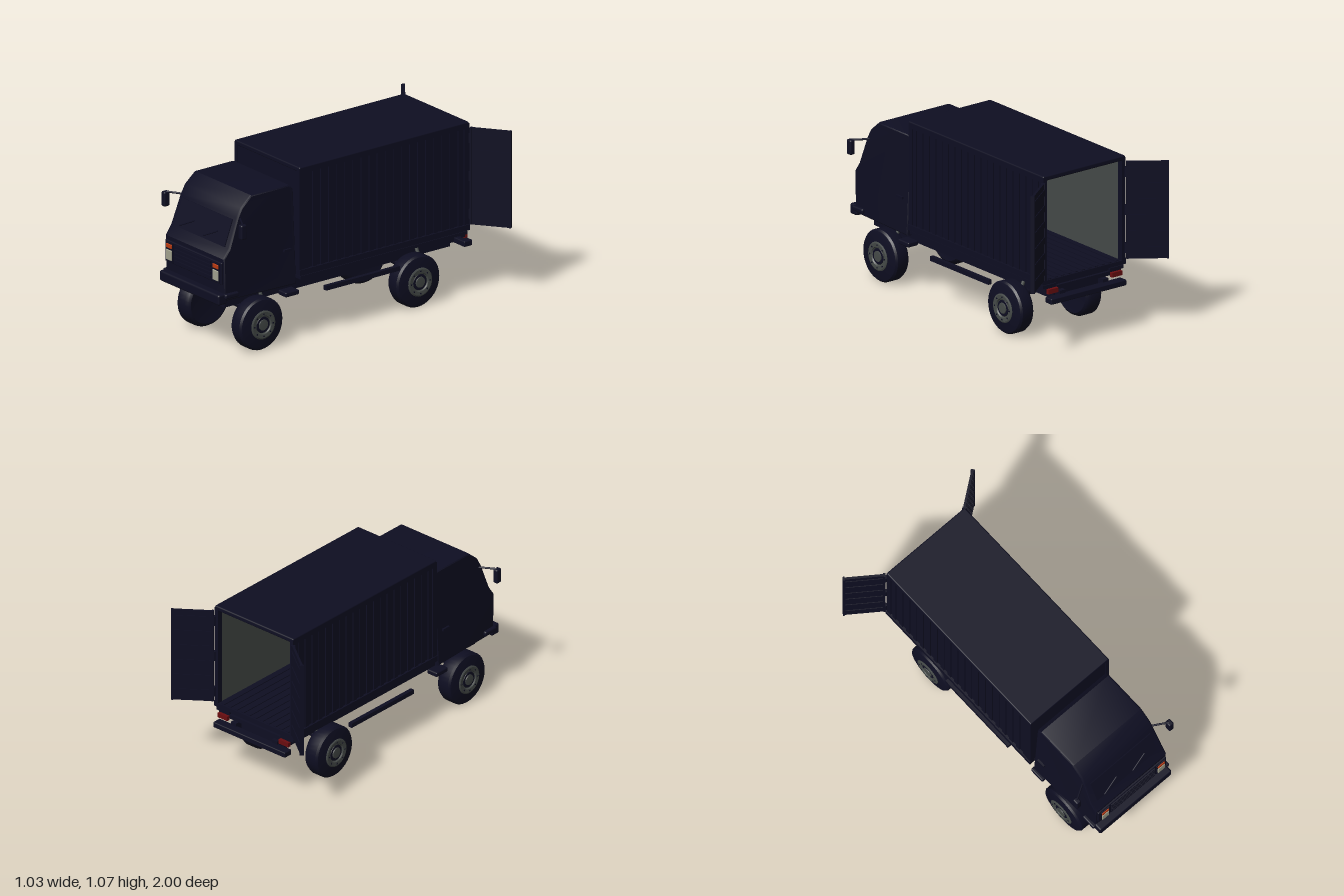
import * as THREE from 'three';
import { toCreasedNormals } from 'three/addons/utils/BufferGeometryUtils.js';
import { RoundedBoxGeometry } from 'three/addons/geometries/RoundedBoxGeometry.js';

const mat = (name, color) => Object.assign(new THREE.MeshStandardMaterial({ color }), { name });
const M = {
  navy: mat('dark navy', 0x0e0e22),
  grey: mat('metal grey', 0x454a48),
  lamp: mat('headlight cream', 0xa3a38f),
  orange: mat('indicator orange', 0xb83a10),
  red: mat('tail light red', 0x6a0d10),
};

function add(parent, name, geometry, material, x = 0, y = 0, z = 0) {
  const mesh = new THREE.Mesh(geometry, material);
  mesh.name = name;
  mesh.position.set(x, y, z);
  parent.add(mesh);
  return mesh;
}

// Box given by its limits on each axis
function span(parent, name, material, [x0, x1], [y0, y1], [z0, z1], round = 0) {
  const s = [x1 - x0, y1 - y0, z1 - z0];
  const g = round ? new RoundedBoxGeometry(...s, 2, round) : new THREE.BoxGeometry(...s);
  return add(parent, name, g, material, (x0 + x1) / 2, (y0 + y1) / 2, (z0 + z1) / 2);
}

// Same box on both sides of the model
function pair(parent, name, material, [x0, x1], y, z, round) {
  span(parent, name + 'Left', material, [x0, x1], y, z, round);
  span(parent, name + 'Right', material, [-x1, -x0], y, z, round);
}

function rod(parent, name, material, a, b, r) {
  const va = new THREE.Vector3(...a), vb = new THREE.Vector3(...b);
  const mesh = add(parent, name, new THREE.CylinderGeometry(r, r, va.distanceTo(vb), 10), material);
  mesh.position.copy(va).lerp(vb, 0.5);
  mesh.quaternion.setFromUnitVectors(new THREE.Vector3(0, 1, 0), vb.sub(va).normalize());
}

// Lathe turned to run along +x; points are [radius, x]
function turned(points) {
  const g = new THREE.LatheGeometry(points.map((p) => new THREE.Vector2(...p)), 36);
  return toCreasedNormals(g.rotateZ(-Math.PI / 2), 0.5);
}

function wheel(side, z) {
  const w = new THREE.Group();
  w.name = 'wheel';
  w.position.set(0, 0.16, z);
  if (side < 0) w.rotation.y = Math.PI;
  add(w, 'tyre', turned([[0, 0.2], [0.1, 0.2], [0.136, 0.195], [0.15, 0.205], [0.16, 0.225],
    [0.16, 0.29], [0.15, 0.302], [0.135, 0.306], [0.1, 0.31], [0.088, 0.312], [0.086, 0.3]]), M.navy);
  add(w, 'rim', turned([[0.088, 0.3], [0.088, 0.315], [0.08, 0.319], [0.058, 0.317], [0.052, 0.31], [0, 0.31]]), M.grey);
  add(w, 'hubRing', turned([[0.05, 0.309], [0.048, 0.313], [0, 0.313]]), M.navy);
  add(w, 'hubCap', turned([[0.034, 0.31], [0.032, 0.318], [0, 0.32]]), M.grey);
  for (let i = 0; i < 8; i++) {
    const a = (i / 8) * Math.PI * 2;
    const bolt = new THREE.CylinderGeometry(0.005, 0.005, 0.006, 6).rotateZ(Math.PI / 2);
    add(w, 'wheelBolt', bolt, M.navy, 0.318, Math.sin(a) * 0.069, Math.cos(a) * 0.069);
  }
  return w;
}

function chassis() {
  const g = new THREE.Group();
  g.name = 'chassis';
  pair(g, 'frameRail', M.navy, [0.13, 0.19], [0.275, 0.355], [-0.79, 0.885]);
  for (const z of [-0.77, -0.47, -0.15, 0.15, 0.45, 0.7, 0.865])
    span(g, 'crossMember', M.navy, [-0.14, 0.14], [0.28, 0.35], [z - 0.02, z + 0.02]);
  span(g, 'framePlate', M.navy, [-0.14, 0.14], [0.32, 0.34], [-0.79, 0.885]);
  for (const z of [0.695, -0.47]) {
    rod(g, 'axle', M.navy, [-0.21, 0.228, z], [0.21, 0.228, z], 0.024);
    span(g, 'differential', M.navy, [-0.04, 0.04], [0.203, 0.28], [z - 0.045, z + 0.045], 0.015);
    for (const s of [1, -1]) {
      g.add(wheel(s, z));
      rod(g, 'shockAbsorber', M.grey, [s * 0.22, 0.29, z - 0.06], [s * 0.19, 0.35, z - 0.06], 0.011);
    }
  }
  rod(g, 'driveShaft', M.navy, [0, 0.25, -0.47], [0, 0.28, 0.6], 0.018);
  pair(g, 'sideGuard', M.navy, [0.28, 0.305], [0.262, 0.29], [-0.325, 0.22]);
  pair(g, 'step', M.navy, [0.23, 0.305], [0.285, 0.315], [0.42, 0.52], 0.008);
  span(g, 'rearBumper', M.navy, [-0.28, 0.28], [0.285, 0.32], [-0.885, -0.825], 0.006);
  pair(g, 'bumperBracket', M.navy, [0.14, 0.18], [0.29, 0.34], [-0.84, -0.78]);
  span(g, 'tailLightBar', M.navy, [-0.28, 0.28], [0.35, 0.375], [-0.83, -0.8]);
  pair(g, 'tailLight', M.red, [0.2, 0.275], [0.34, 0.368], [-0.85, -0.83]);
  return g;
}

function cargoBox() {
  const g = new THREE.Group();
  g.name = 'cargoBox';
  const W = 0.306, z0 = -0.84, z1 = 0.42;
  span(g, 'floor', M.navy, [-0.3, 0.3], [0.4, 0.425], [z0, z1]);
  span(g, 'roof', M.navy, [-W, W], [1.04, 1.07], [z0, z1], 0.008);
  span(g, 'frontWall', M.navy, [-0.3, 0.3], [0.41, 1.05], [z1 - 0.02, z1 - 0.003]);
  span(g, 'frontLining', M.grey, [-0.285, 0.285], [0.425, 1.04], [z1 - 0.025, z1 - 0.02]);
  pair(g, 'sideWall', M.navy, [0.287, 0.297], [0.41, 1.05], [z0 + 0.01, z1 - 0.003]);
  pair(g, 'sideLining', M.grey, [0.282, 0.287], [0.425, 1.04], [z0 + 0.02, z1 - 0.02]);
  // outer frame
  pair(g, 'topRail', M.navy, [0.285, W], [1.03, 1.06], [z0, z1]);
  pair(g, 'bottomRail', M.navy, [0.285, 0.312], [0.4, 0.435], [z0, z1]);
  for (const z of [z0, z1 - 0.035])
    pair(g, 'cornerPost', M.navy, [0.28, W], [0.4, 1.06], [z, z + 0.035]);
  // corrugation
  for (let i = 0; i < 20; i++) {
    const z = -0.775 + i * 0.06;
    pair(g, 'wallRib', M.navy, [0.296, 0.304], [0.43, 1.035], [z - 0.015, z + 0.015]);
  }
  for (let i = 0; i < 11; i++) {
    const x = -0.25 + i * 0.05;
    span(g, 'floorRib', M.navy, [x - 0.012, x + 0.012], [0.424, 0.43], [z0 + 0.01, z1 - 0.03]);
  }
  // supports below the floor
  pair(g, 'subframeRail', M.navy, [0.2, 0.3], [0.373, 0.392], [z0 + 0.01, z1 - 0.01]);
  for (let i = 0; i < 10; i++) {
    const z = -0.8 + i * 0.13;
    span(g, 'subframeBlock', M.navy, [-0.29, 0.29], [0.376, 0.401], [z - 0.015, z + 0.015]);
    pair(g, 'frameMount', M.navy, [0.13, 0.19], [0.35, 0.378], [z - 0.01, z + 0.01]);
  }
  // open rear doors
  for (const s of [1, -1]) {
    const d = new THREE.Group(), L = 0.25;
    d.name = s > 0 ? 'rearDoorLeft' : 'rearDoorRight';
    d.position.set(s * 0.308, 0, z0 - 0.005);
    d.rotation.y = s > 0 ? 0.635 : Math.PI - 0.635;
    span(d, 'doorPanel', M.navy, [0, L], [0.435, 1.035], [-0.007, 0.007]);
    for (let i = 0; i < 6; i++) {
      const y = 0.49 + i * 0.098;
      span(d, 'doorRib', M.navy, [0.015, L - 0.015], [y - 0.02, y + 0.02], [-0.011, 0.011]);
    }
    for (const x of [0, L - 0.012]) span(d, 'doorFrame', M.navy, [x, x + 0.012], [0.435, 1.035], [-0.012, 0.012]);
    for (const y of [0.5, 0.735, 0.97]) rod(d, 'hinge', M.navy, [0, y - 0.03, 0], [0, y + 0.03, 0], 0.012);
    g.add(d);
  }
  return g;
}

function cab() {
  const g = new THREE.Group();
  g.name = 'cab';
  // side profile as z, y
  const profile = [[0.445, 0.36], [0.945, 0.36], [0.95, 0.61], [0.91, 0.665], [0.845, 0.84],
    [0.815, 0.895], [0.745, 0.955], [0.47, 0.955], [0.445, 0.93]];
  const shape = new THREE.Shape(profile.map((p) => new THREE.Vector2(...p)));
  let geo = new THREE.ExtrudeGeometry(shape, { depth: 0.57, bevelSize: 0.008, bevelThickness: 0.015, bevelSegments: 2 });
  geo.translate(0, 0, -0.285).rotateY(-Math.PI / 2);
  // narrow towards the roof and the nose
  const p = geo.attributes.position;
  for (let i = 0; i < p.count; i++) {
    const up = Math.max(0, p.getY(i) - 0.62) / 0.34, nose = Math.max(0, p.getZ(i) - 0.78) / 0.17;
    p.setX(i, p.getX(i) * (1 - 0.11 * up) * (1 - 0.08 * nose));
  }
  geo = toCreasedNormals(geo, 0.5);
  add(g, 'cabShell', geo, M.navy);
  span(g, 'frontBumper', M.navy, [-0.28, 0.28], [0.335, 0.4], [0.935, 1], 0.012);
  pair(g, 'bumperEnd', M.navy, [0.265, 0.298], [0.37, 0.4], [0.86, 0.96], 0.01);

  // nose panel, grille and lamps
  span(g, 'nosePanel', M.navy, [-0.265, 0.265], [0.455, 0.59], [0.94, 0.968], 0.006);
  for (let i = 0; i < 5; i++) {
    const y = 0.48 + i * 0.023;
    span(g, 'grilleBar', M.navy, [-0.17, 0.17], [y - 0.007, y + 0.007], [0.96, 0.976]);
  }
  pair(g, 'lampFrame', M.navy, [0.185, 0.25], [0.465, 0.582], [0.96, 0.974]);
  pair(g, 'headlight', M.lamp, [0.192, 0.245], [0.474, 0.537], [0.97, 0.98], 0.004);
  pair(g, 'indicator', M.orange, [0.192, 0.245], [0.548, 0.574], [0.97, 0.98], 0.004);

  // windscreen and wipers
  const screen = new THREE.Group();
  screen.name = 'windscreen';
  screen.position.set(0, 0.75, 0.888);
  screen.rotation.x = -0.355;
  span(screen, 'glass', M.navy, [-0.235, 0.235], [-0.085, 0.085], [-0.003, 0.005]);
  for (const x of [-0.18, 0.04])
    rod(screen, 'wiper', M.navy, [x, -0.07, 0.014], [x + 0.11, -0.012, 0.014], 0.004);
  g.add(screen);

  for (const s of [1, -1]) {
    rod(g, 'mirrorArm', M.navy, [s * 0.25, 0.838, 0.82], [s * 0.36, 0.838, 0.885], 0.006);
    add(g, 'mirror', new RoundedBoxGeometry(0.035, 0.092, 0.042, 2, 0.01), M.navy, s * 0.362, 0.795, 0.887);
    add(g, 'doorHandle', new THREE.BoxGeometry(0.012, 0.014, 0.055), M.navy, s * 0.301, 0.577, 0.505);
  }
  return g;
}

export function createModel() {
  const truck = new THREE.Group();
  truck.name = 'boxTruck';
  truck.add(chassis(), cargoBox(), cab());
  return truck;
}
